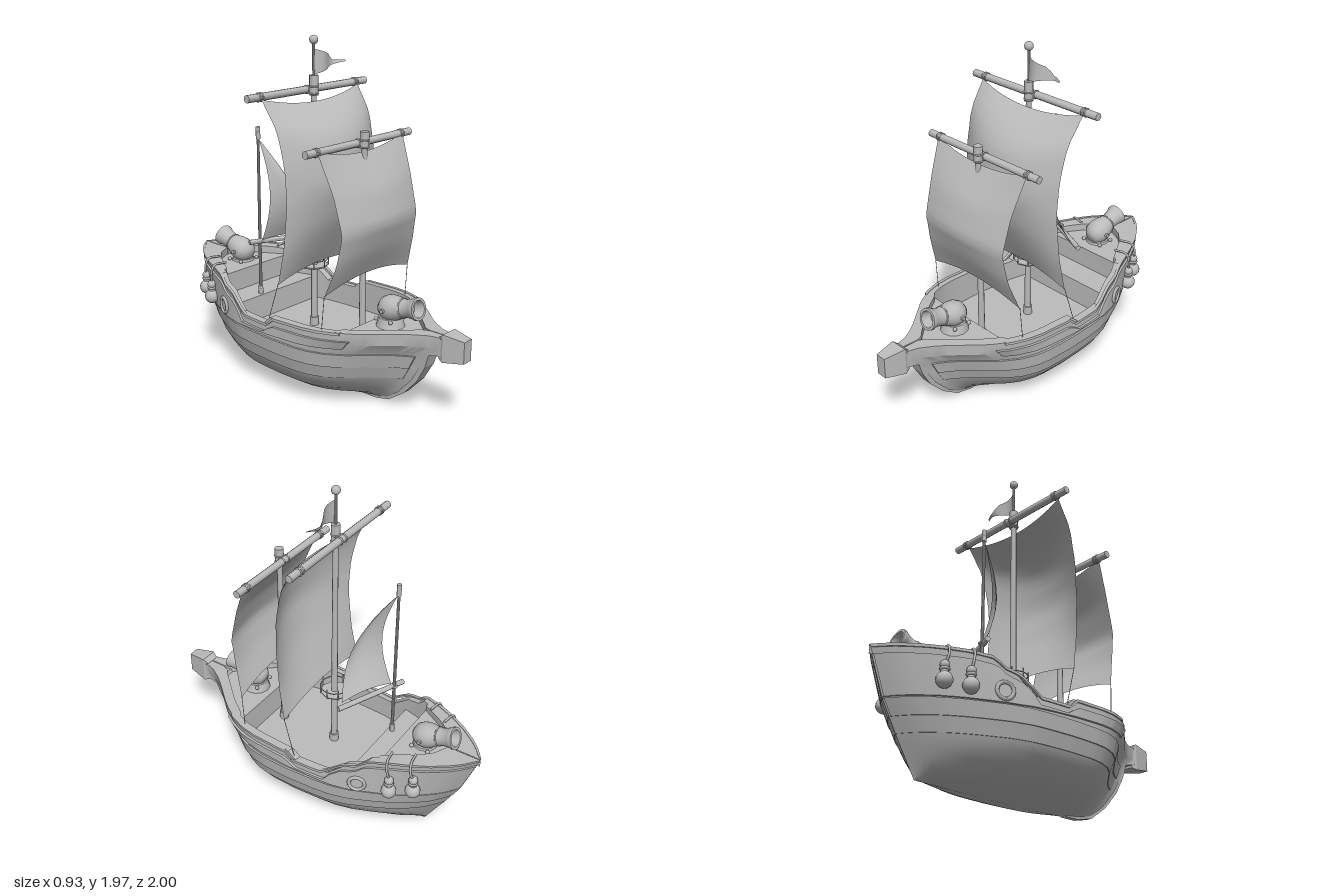
import * as THREE from 'three';
import { toCreasedNormals } from 'three/addons/utils/BufferGeometryUtils.js';

const { lerp } = THREE.MathUtils;
const V = (x, y, z) => new THREE.Vector3(x, y, z);

// Piecewise linear lookup in a table of [input, output]
function look(table, t) {
  if (t <= table[0][0]) return table[0][1];
  for (let i = 1; i < table.length; i++) {
    const [a, va] = table[i - 1], [b, vb] = table[i];
    if (t <= b) return lerp(va, vb, (t - a) / (b - a));
  }
  return table[table.length - 1][1];
}

// Hull rules: stem and stern rake, fullness by height, plan width, rail, deck heights and inner deck edge
const bowZ = y => look([[0, 0.42], [0.03, 0.5], [0.1, 0.59], [0.2, 0.68], [0.3, 0.74], [0.38, 0.78], [0.43, 0.86], [0.5, 0.87]], y);
const sternZ = y => look([[0, -0.7], [0.05, -0.73], [0.2, -0.82], [0.36, -0.91], [0.6, -1]], y);
const fullness = y => look([[0, 0.04], [0.02, 0.34], [0.05, 0.56], [0.1, 0.75], [0.15, 0.86], [0.2, 0.93], [0.28, 0.98], [0.36, 1], [0.6, 0.99]], y);
const plan = z => look([[-1, 0], [-0.95, 0.065], [-0.9, 0.115], [-0.8, 0.19], [-0.7, 0.245], [-0.6, 0.29], [-0.45, 0.35], [-0.32, 0.383],
  [-0.2, 0.395], [0, 0.405], [0.2, 0.4], [0.3, 0.385], [0.4, 0.35], [0.5, 0.29], [0.6, 0.205], [0.7, 0.12], [0.8, 0.06], [0.87, 0.045]], z);
const rail = z => look([[-1, 0.605], [-0.62, 0.603], [-0.5, 0.59], [-0.455, 0.545], [-0.38, 0.525], [-0.27, 0.43], [-0.07, 0.43], [-0.02, 0.475], [0.4, 0.49], [0.87, 0.5]], z);
const deck = z => z < -0.53 ? 0.56 : z < -0.36 ? 0.44 : z < 0.38 ? 0.3 : 0.455;
const innerEdge = z => look([[-0.8, 0.003], [-0.77, 0.08], [-0.7, 0.15], [-0.6, 0.21], [-0.532, 0.25], [-0.528, 0.4], [0.35, 0.4], [0.4, 0.29], [0.5, 0.22], [0.6, 0.13], [0.7, 0.04], [0.73, 0.003]], z);
const uAt = (z, y) => (z - sternZ(y)) / (bowZ(y) - sternZ(y));
const hullX = (z, y) => plan(-1 + 1.87 * uAt(z, y)) * fullness(y);
const hullAt = (u, y) => V(plan(-1 + 1.87 * u) * fullness(y), y, lerp(sternZ(y), bowZ(y), u));

// Skin between cross-sections with equal point counts
function loft(sections, closed, crease = 0.6) {
  const n = sections[0].length, pos = [], idx = [];
  sections.forEach(s => s.forEach(p => pos.push(p.x, p.y, p.z)));
  for (let i = 0; i < sections.length - 1; i++) {
    for (let j = 0; j < (closed ? n : n - 1); j++) {
      const a = i * n + j, b = i * n + (j + 1) % n;
      idx.push(a, b, a + n, b, b + n, a + n);
    }
  }
  const g = new THREE.BufferGeometry();
  g.setAttribute('position', new THREE.Float32BufferAttribute(pos, 3));
  g.setIndex(idx);
  return toCreasedNormals(g, crease);
}

export function createModel() {
  const ship = new THREE.Group();
  ship.name = 'sailingShip';
  const grey = new THREE.MeshStandardMaterial({ color: 0xbcbcbc, side: THREE.DoubleSide });
  grey.name = 'plainGrey';

  function add(name, geo, parent = ship) {
    const m = new THREE.Mesh(geo, grey);
    m.name = name;
    parent.add(m);
    return m;
  }
  function rod(name, a, b, r, r2 = r, sides = 10, parent = ship) {
    const d = b.clone().sub(a);
    const m = add(name, toCreasedNormals(new THREE.CylinderGeometry(r2, r, d.length(), sides), 0.9), parent);
    m.position.copy(a).addScaledVector(d, 0.5);
    m.quaternion.setFromUnitVectors(V(0, 1, 0), d.normalize());
    return m;
  }
  function ring(name, pos, radius, tube, axis, parent = ship) {
    const m = add(name, new THREE.TorusGeometry(radius, tube, 6, 14), parent);
    m.position.copy(pos);
    m.quaternion.setFromUnitVectors(V(0, 0, 1), axis);
    return m;
  }

  // Hull shell with bulwarks and stepped decks
  const us = [];
  for (let i = 0; i <= 48; i++) us.push(i / 48);
  for (const z of [-0.53, -0.36, 0.38]) us.push(uAt(z - 0.003, rail(z)), uAt(z + 0.003, rail(z)));
  for (const z of [-0.5, -0.455, -0.38, -0.27, -0.07, -0.02]) us.push(uAt(z, rail(z)));
  us.sort((a, b) => a - b);
  add('hull', loft(us.map(u => {
    let z = -1 + 1.87 * u;
    for (let k = 0; k < 6; k++) z = lerp(sternZ(rail(z)), bowZ(rail(z)), u);
    const top = rail(z), half = [0, 0.02, 0.05, 0.1, 0.15, 0.2, 0.28, 0.36, (0.36 + top) / 2, top].map(y => hullAt(u, y));
    const inner = Math.max(0.003, Math.min(half[9].x - 0.042, innerEdge(z)));
    half.push(V(inner, top, z), V(inner, Math.min(deck(z), top - 0.02), z));
    return half.concat(half.map(p => V(-p.x, p.y, p.z)).reverse());
  }), true, 0.5));

  // Raised planking belts along both sides, from one hull fraction to another
  function belt(name, u0, u1, low, high, thick) {
    for (const s of [1, -1]) {
      const sections = [];
      for (let i = 0; i <= 52; i++) {
        const u = lerp(u0, u1, i / 52), z = -1 + 1.87 * u, a = hullAt(u, low(z)), b = hullAt(u, high(z));
        sections.push([[a, -0.01], [a, thick], [b, thick], [b, -0.01]].map(([p, d]) => V(s * Math.max(0, p.x + d), p.y, p.z)));
      }
      add(name, loft([...sections, sections[52].map(() => sections[52][0])], true));
    }
  }
  belt('lowerStrake', 0, 0.97, () => 0.2, () => 0.275, 0.005);
  belt('wale', 0, 0.97, () => 0.275, () => 0.355, 0.012);
  belt('upperBelt', 0, 0.785, z => look([[-0.4, 0.362], [0.44, 0.395]], z), z => Math.max(0.385, rail(z) - 0.045), 0.014);
  belt('railCap', 0, 0.76, z => rail(z) - 0.012, z => rail(z) + 0.003, 0.008);

  // Stem post, narrowing to the keel
  const stem = new THREE.Shape([[0.3, 0], [0.41, 0], [0.51, 0.022], [0.62, 0.1], [0.71, 0.2], [0.765, 0.3], [0.79, 0.38], [0.87, 0.4],
    [0.87, 0.49], [0.72, 0.48], [0.66, 0.3], [0.52, 0.1], [0.4, 0.04]].map(p => new THREE.Vector2(...p)));
  const stemGeo = new THREE.ExtrudeGeometry(stem, { depth: 0.1, bevelEnabled: false }).translate(0, 0, -0.05).rotateY(-Math.PI / 2);
  const sp = stemGeo.attributes.position;
  for (let i = 0; i < sp.count; i++) sp.setX(i, sp.getX(i) * lerp(0.35, 0.95, Math.min(1, sp.getY(i) / 0.4)));
  stemGeo.computeVertexNormals();
  add('stemPost', stemGeo);

  // Bow block ahead of the stem
  const block = (x, y0, y1, z) => [V(-x, y0, z), V(x, y0, z), V(x, y1, z), V(-x, y1, z)];
  const mid = z => [0, 1, 2, 3].map(() => V(0, 0.45, z));
  add('bowBlock', loft([mid(0.85), block(0.04, 0.38, 0.5, 0.85), block(0.053, 0.37, 0.525, 0.88), block(0.032, 0.39, 0.51, 1), mid(1)], true, 0.3));

  // Masts with collars
  function mast(name, x, z, y0, y1, r, collar) {
    rod(name, V(x, y0, z), V(x, y1, z), r, r * 0.8);
    rod(name + 'Collar', V(x, y1 - collar, z), V(x, y1, z), r * 1.3);
    rod(name + 'Foot', V(x, y0, z), V(x, y0 + 0.05, z), r * 1.4);
  }
  mast('mainMast', 0, -0.065, 0.3, 1.75, 0.019, 0.11);
  mast('foreMast', 0, 0.3, 0.3, 1.49, 0.019, 0.09);
  mast('mizzenMast', -0.115, -0.39, 0.44, 1.44, 0.01, 0.07);
  rod('flagPole', V(0, 1.74, -0.065), V(0, 1.93, -0.065), 0.008);
  add('poleBall', new THREE.SphereGeometry(0.025, 12, 8)).position.set(0, 1.94, -0.065);

  // Pennant
  const flag = [];
  for (let i = 0; i <= 10; i++) {
    const t = i / 10, z = -0.065 + 0.018 * Math.sin(t * 7);
    flag.push([V(0.005 + 0.235 * t, look([[0, 1.89], [0.5, 1.855], [0.7, 1.815], [1, 1.812]], t), z), V(0.005 + 0.235 * t, look([[0, 1.755], [0.5, 1.785], [1, 1.805]], t), z + 0.008)]);
  }
  add('pennant', loft(flag, false, 1));

  // Square sails: the middle bellies further forward than the side edges
  function squareSail(name, top, bottom, width, edge, centre) {
    const rows = [];
    for (let i = 0; i <= 16; i++) {
      const t = i / 16, row = [];
      for (let j = -8; j <= 8; j++) {
        const s = j / 8, q = s * s;
        row.push(V(s * look(width, t), lerp(top - 0.05 * (1 - q), bottom + 0.055 * (1 - q), t), lerp(look(centre, t), look(edge, t), q)));
      }
      rows.push(row);
    }
    add(name, loft(rows, false, 1.2));
  }
  squareSail('mainSail', 1.66, 0.665, [[0, 0.38], [0.25, 0.365], [0.5, 0.357], [0.75, 0.362], [1, 0.375]],
    [[0, -0.08], [0.15, 0.02], [0.35, 0.065], [0.55, 0.075], [0.8, 0.055], [1, 0.02]],
    [[0, -0.05], [0.1, 0.09], [0.22, 0.165], [0.46, 0.195], [0.7, 0.14], [0.88, 0.07], [1, 0.02]]);
  squareSail('foreSail', 1.43, 0.67, [[0, 0.345], [0.3, 0.318], [0.6, 0.308], [0.8, 0.32], [1, 0.35]],
    [[0, 0.28], [0.28, 0.365], [0.55, 0.42], [0.78, 0.39], [1, 0.335]],
    [[0, 0.29], [0.28, 0.4], [0.55, 0.455], [0.78, 0.41], [1, 0.345]]);

  // Yards with rope lashings
  for (const [name, y, z, half, lash, mz] of [['mainYard', 1.67, -0.1, 0.465, 0.375, -0.065], ['foreYard', 1.425, 0.268, 0.42, 0.34, 0.3]]) {
    rod(name, V(-half, y, z), V(half, y, z), 0.021);
    for (const x of [-lash - 0.01, -lash + 0.01, -0.02, 0.02, lash - 0.01, lash + 0.01]) ring('lashing', V(x, y, z), 0.021, 0.005, V(1, 0, 0));
    ring('mastLashing', V(0, y + 0.02, mz), 0.024, 0.005, V(0, 1, 0));
    ring('mastLashing', V(0, y - 0.02, mz), 0.024, 0.005, V(0, 1, 0));
  }

  // Mizzen boom and triangular sail
  rod('mizzenBoom', V(-0.18, 0.765, -0.41), V(0.23, 0.765, -0.24), 0.015);
  ring('boomLashing', V(-0.115, 0.765, -0.388), 0.018, 0.006, V(0, 1, 0));
  const tri = [];
  for (let i = 0; i <= 12; i++) {
    const t = i / 12, w = look([[0, 0], [0.35, 0.28], [0.65, 0.62], [1, 1]], t), row = [];
    const puff = 0.1 * Math.sin(Math.PI * t * 0.94);
    for (let j = 0; j <= 8; j++) {
      const s = j / 8, belly = puff * (0.85 + 0.4 * Math.sin(Math.PI * 0.75 * s));
      row.push(V(-0.115 + 0.3 * w * s, lerp(1.37, 0.775, t) + 0.02 * Math.sin(Math.PI * s) * t, -0.385 + 0.13 * w * s + belly));
    }
    tri.push(row);
  }
  add('mizzenSail', loft(tri, false, 1.2));

  // Lookout platform with thin rails
  const nest = new THREE.Group();
  nest.name = 'lookout';
  nest.position.set(0, 0.665, -0.07);
  ship.add(nest);
  add('platform', toCreasedNormals(new THREE.CylinderGeometry(0.085, 0.08, 0.01, 8), 0.4), nest);
  ring('lookoutRail', V(0, 0.042, 0), 0.085, 0.003, V(0, 1, 0), nest);
  for (let i = 0; i < 8; i++) {
    const a = i * Math.PI / 4, x = 0.085 * Math.cos(a), z = 0.085 * Math.sin(a);
    rod('lookoutPost', V(x, 0, z), V(x, 0.065, z), 0.004, 0.004, 6, nest);
  }

  // Sheets from the sail corners to the rail
  for (const s of [1, -1]) {
    rod('mainSheet', V(s * 0.375, 0.67, 0.02), V(s * 0.385, 0.44, -0.05), 0.002, 0.002, 5);
    rod('foreSheet', V(s * 0.35, 0.675, 0.335), V(s * 0.355, 0.48, 0.32), 0.002, 0.002, 5);
  }

  // Bow and stern cannons on round swivel bases
  const barrel = [[0, -0.07], [0.04, -0.062], [0.064, -0.035], [0.073, 0], [0.068, 0.04], [0.055, 0.08], [0.049, 0.11], [0.052, 0.14],
    [0.058, 0.165], [0.062, 0.172], [0.062, 0.19], [0.047, 0.19], [0.04, 0.13], [0, 0.13]].map(p => new THREE.Vector2(...p));
  for (const [name, y, z, dir, tilt] of [['bowCannon', 0.555, 0.5, 1, 0.22], ['sternCannon', 0.623, -0.665, -1, 0.32]]) {
    const gun = new THREE.Group();
    gun.name = name;
    gun.position.set(0, y, z);
    if (dir < 0) gun.rotation.y = Math.PI;
    ship.add(gun);
    add('barrel', toCreasedNormals(new THREE.LatheGeometry(barrel, 20), 0.7), gun).rotation.x = Math.PI / 2 - tilt;
    const axis = V(0, Math.sin(tilt), Math.cos(tilt));
    ring('barrelBand', axis.clone().multiplyScalar(0.09), 0.052, 0.005, axis, gun);
    add('swivelBase', toCreasedNormals(new THREE.CylinderGeometry(0.065, 0.08, 0.05, 12), 0.6), gun).position.y = -0.075;
    for (const s of [1, -1]) {
      rod('trunnion', V(s * 0.06, 0, 0), V(s * 0.085, 0, 0), 0.012, 0.012, 8, gun);
      for (const k of [1, -1]) add('bolt', new THREE.SphereGeometry(0.012, 8, 6), gun).position.set(s * 0.065, -0.055, k * 0.05);
    }
  }

  // Portholes and hanging gourds on the quarters
  for (const s of [1, -1]) {
    const out = V(s * 0.93, 0, -0.36).normalize(), centre = V(s * (hullX(-0.445, 0.42) + 0.022), 0.42, -0.445);
    ring('portholeRim', centre, 0.044, 0.011, out);
    rod('portholeGlass', centre.clone().addScaledVector(out, -0.03), centre, 0.044, 0.044, 8);
    for (const [z, y] of [[-0.605, 0.415], [-0.72, 0.43]]) {
      const x = hullX(z, 0.45) + 0.034, xr = hullX(z, 0.6);
      add('gourd', new THREE.SphereGeometry(0.043, 14, 10)).position.set(s * x, y, z - 0.01);
      rod('gourdNeck', V(s * x, y + 0.03, z - 0.01), V(s * x, y + 0.075, z - 0.01), 0.022, 0.014);
      ring('gourdCollar', V(s * x, y + 0.055, z - 0.01), 0.02, 0.008, V(0, 1, 0));
      add('gourdStopper', new THREE.SphereGeometry(0.026, 10, 8)).position.set(s * x, y + 0.075, z - 0.01);
      const path = new THREE.CatmullRomCurve3([V(s * x, y + 0.08, z - 0.01), V(s * (xr + 0.026), 0.56, z), V(s * (xr + 0.008), 0.612, z + 0.01),
        V(s * (xr - 0.07), 0.612, z + 0.025)]);
      add('gourdRope', new THREE.TubeGeometry(path, 14, 0.007, 6));
    }
  }
  return ship;
}
